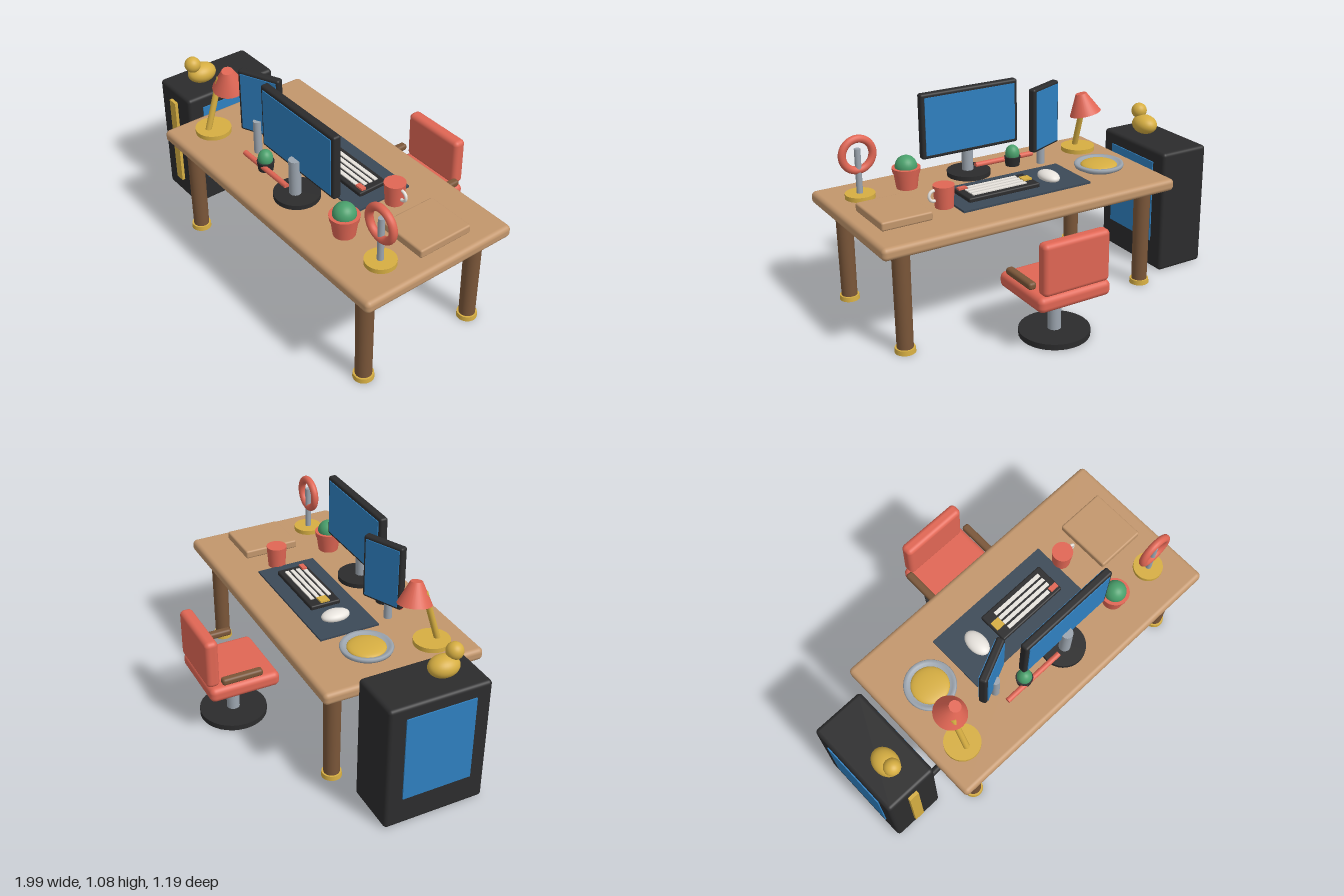
import * as THREE from 'three';
import { RoundedBoxGeometry } from 'three/addons/geometries/RoundedBoxGeometry.js';

const mat = (name, color) => {
  const m = new THREE.MeshStandardMaterial({ color });
  m.name = name;
  return m;
};

export function createModel() {
  const root = new THREE.Group();
  root.name = 'deskSetup';

  const lightWood = mat('lightWood', 0xc2966c);
  const darkWood = mat('darkWood', 0x7a5639);
  const gold = mat('gold', 0xd6ae42);
  const coral = mat('coral', 0xe06654);
  const charcoal = mat('charcoal', 0x2c2c2d);
  const blue = mat('screenBlue', 0x2f80c0);
  const metal = mat('greyMetal', 0x9ca5af);
  const green = mat('cactusGreen', 0x4aa06c);
  const white = mat('white', 0xe8e4de);
  const slate = mat('slate', 0x3c4957);

  const part = (name) => {
    const g = new THREE.Group();
    g.name = name;
    root.add(g);
    return g;
  };
  const add = (parent, name, geo, m, x, y, z) => {
    const mesh = new THREE.Mesh(geo, m);
    mesh.name = name;
    mesh.position.set(x, y, z);
    parent.add(mesh);
    return mesh;
  };
  // Rounded box given by its extents; r = 0 gives sharp edges
  const box = (parent, name, m, [x0, x1], [y0, y1], [z0, z1], r = 0) => {
    const s = [x1 - x0, y1 - y0, z1 - z0];
    const geo = r ? new RoundedBoxGeometry(...s, 4, r) : new THREE.BoxGeometry(...s);
    return add(parent, name, geo, m, (x0 + x1) / 2, (y0 + y1) / 2, (z0 + z1) / 2);
  };
  // Upright cylinder between two heights
  const cyl = (parent, name, m, x, z, y0, y1, rBottom, rTop = rBottom) =>
    add(parent, name, new THREE.CylinderGeometry(rTop, rBottom, y1 - y0, 32), m, x, (y0 + y1) / 2, z);
  const ball = (parent, name, m, x, y, z, rx, ry = rx, rz = rx) => {
    const mesh = add(parent, name, new THREE.SphereGeometry(1, 32, 20), m, x, y, z);
    mesh.scale.set(rx, ry, rz);
    return mesh;
  };
  // Cylinder between two points
  const rod = (parent, name, m, a, b, r) => {
    const p = new THREE.Vector3(...a), q = new THREE.Vector3(...b);
    const d = q.clone().sub(p);
    const mesh = add(parent, name, new THREE.CylinderGeometry(r, r, d.length(), 20), m, 0, 0, 0);
    mesh.position.copy(p).add(q).multiplyScalar(0.5);
    mesh.quaternion.setFromUnitVectors(new THREE.Vector3(0, 1, 0), d.normalize());
    return mesh;
  };
  const TOP = 0.6;

  // Desk
  const desk = part('desk');
  box(desk, 'deskTop', lightWood, [-0.665, 0.995], [0.535, TOP], [-0.272, 0.592], 0.024);
  box(desk, 'frontBeam', darkWood, [-0.52, 0.83], [0.452, 0.54], [0.325, 0.388], 0.015);
  for (const x of [-0.535, 0.862]) {
    for (const z of [-0.165, 0.495]) {
      cyl(desk, 'leg', darkWood, x, z, 0.01, 0.54, 0.041, 0.044);
      cyl(desk, 'foot', gold, x, z, 0, 0.025, 0.052, 0.05);
    }
  }

  // Computer tower
  const tower = part('computerTower');
  box(tower, 'towerCase', charcoal, [-0.993, -0.705], [0, 0.682], [-0.125, 0.413], 0.02);
  box(tower, 'frontStrip', gold, [-0.88, -0.825], [0.105, 0.615], [0.41, 0.43]);
  for (const x of [-0.995, -0.703]) {
    box(tower, 'sidePanel', blue, [x - 0.004, x + 0.004], [0.155, 0.615], [-0.037, 0.33]);
  }
  rod(tower, 'cable', charcoal, [-0.715, 0.442, 0.372], [-0.38, 0.54, 0.372], 0.017);

  // Figurine on the tower
  const figurine = part('figurine');
  ball(figurine, 'figurineBody', gold, -0.85, 0.729, 0.235, 0.063, 0.053, 0.08);
  ball(figurine, 'figurineHead', gold, -0.85, 0.795, 0.288, 0.043);

  // Office chair
  const chair = part('chair');
  const cx = 0.163, cz = -0.394;
  cyl(chair, 'chairBase', charcoal, cx, cz, 0, 0.03, 0.178);
  cyl(chair, 'chairPost', metal, cx, cz, 0.03, 0.24, 0.034);
  box(chair, 'seat', coral, [-0.04, 0.366], [0.232, 0.313], [-0.587, -0.205], 0.03);
  box(chair, 'backrest', coral, [-0.022, 0.348], [0.318, 0.585], [-0.597, -0.527], 0.025);
  for (const s of [-1, 1]) {
    const x = cx + s * 0.206;
    box(chair, 'armrest', darkWood, [x - 0.021, x + 0.021], [0.343, 0.38], [-0.53, -0.31], 0.014);
  }

  // Monitors with a screen on both faces
  const monitor = (name, x, y, z, w, h, t, bezel, turn) => {
    const g = part(name);
    g.position.set(x, y, z);
    g.rotation.y = turn;
    add(g, 'monitorFrame', new RoundedBoxGeometry(w, h, t, 3, 0.012), charcoal, 0, 0, 0);
    for (const s of [-1, 1]) {
      add(g, 'screen', new THREE.BoxGeometry(w - 2 * bezel, h - 2 * bezel, 0.008), blue, 0, 0, s * t / 2);
    }
  };
  monitor('mainMonitor', 0.203, 0.913, 0.353, 0.562, 0.343, 0.044, 0.02, 0);
  monitor('sideMonitor', -0.21, 0.872, 0.285, 0.232, 0.345, 0.042, 0.016, 0.42);
  const stands = part('monitorStands');
  cyl(stands, 'mainStandBase', charcoal, 0.2, 0.375, TOP, 0.624, 0.115);
  cyl(stands, 'mainStandPost', metal, 0.2, 0.385, 0.62, 0.815, 0.03);
  cyl(stands, 'sideStandPost', metal, -0.21, 0.315, TOP, 0.785, 0.021);

  // Desk mat, keyboard and mouse
  const input = part('keyboardArea');
  box(input, 'deskMat', slate, [-0.258, 0.482], [0.598, 0.61], [-0.088, 0.237]);
  box(input, 'keyboard', charcoal, [0, 0.408], [0.606, 0.632], [-0.01, 0.157], 0.008);
  [0.028, 0.06, 0.092, 0.125].forEach((z, i) => {
    box(input, 'keyRow', white, [0.062, i === 3 ? 0.345 : 0.372], [0.628, 0.638], [z - 0.01, z + 0.01]);
  });
  box(input, 'accentKeyGold', gold, [0.01, 0.06], [0.628, 0.641], [0.05, 0.1]);
  box(input, 'accentKeyCoral', coral, [0.352, 0.4], [0.628, 0.643], [0.113, 0.139]);
  ball(input, 'mouse', white, -0.105, 0.62, 0.073, 0.049, 0.03, 0.077);

  // Mug
  const mug = part('mug');
  cyl(mug, 'mugBody', coral, 0.522, 0.04, TOP, 0.715, 0.046, 0.054);
  add(mug, 'mugHandle', new THREE.TorusGeometry(0.027, 0.008, 12, 28), white, 0.576, 0.667, 0.04);

  // Book
  box(part('book'), 'bookBlock', lightWood, [0.645, 0.912], [TOP, 0.645], [-0.085, 0.218], 0.01);

  // Dish with a low dome
  const dish = part('dish');
  const dishProfile = [[0, 0], [0.1, 0], [0.128, 0.014], [0.133, 0.026], [0.128, 0.035], [0.112, 0.035], [0.095, 0.02], [0, 0.018]];
  add(dish, 'dishRim', new THREE.LatheGeometry(dishProfile.map((p) => new THREE.Vector2(...p)), 40), metal, -0.425, TOP, 0.075);
  ball(dish, 'dishDome', gold, -0.425, 0.622, 0.075, 0.098, 0.022, 0.098);

  // Desk lamp
  const lamp = part('lamp');
  cyl(lamp, 'lampBase', gold, -0.505, 0.392, TOP, 0.624, 0.093);
  rod(lamp, 'lampStem', gold, [-0.505, 0.61, 0.425], [-0.505, 0.9, 0.335], 0.016);
  const shade = cyl(lamp, 'lampShade', coral, -0.476, 0.302, 0.838, 0.95, 0.086, 0.03);
  shade.rotation.set(0.15, 0, -0.17);

  // Large potted cactus
  const cactus = part('pottedCactus');
  cyl(cactus, 'pot', coral, 0.56, 0.373, TOP, 0.7, 0.054, 0.068);
  cyl(cactus, 'potRim', coral, 0.56, 0.373, 0.682, 0.71, 0.07, 0.074);
  ball(cactus, 'cactusBall', green, 0.56, 0.715, 0.373, 0.057);

  // Small cactus
  const small = part('smallCactus');
  cyl(small, 'smallPot', charcoal, -0.066, 0.37, TOP, 0.65, 0.038, 0.044);
  ball(small, 'smallCactusBall', green, -0.066, 0.666, 0.37, 0.038, 0.046, 0.038);

  // Long coral bar lying beside the stand
  rod(part('pen'), 'penBody', coral, [-0.205, 0.631, 0.396], [0.147, 0.631, 0.396], 0.014);

  // Ring ornament
  const ring = part('ringOrnament');
  cyl(ring, 'ornamentBase', gold, 0.817, 0.373, TOP, 0.624, 0.076);
  cyl(ring, 'ornamentPost', metal, 0.817, 0.375, 0.62, 0.855, 0.016);
  add(ring, 'ornamentRing', new THREE.TorusGeometry(0.081, 0.02, 16, 48), coral, 0.817, 0.824, 0.377);

  return root;
}
